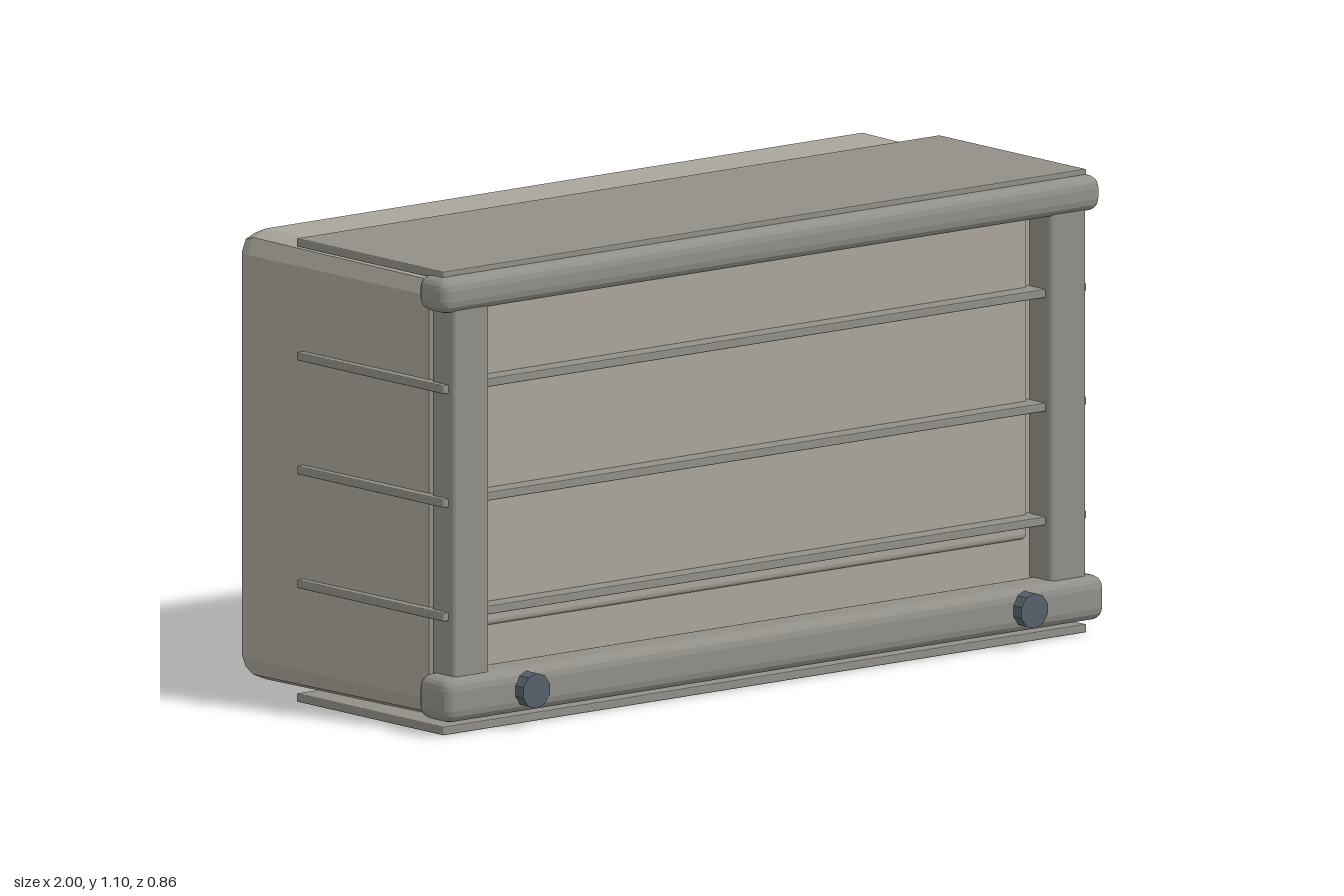
import * as THREE from 'three';
import { RoundedBoxGeometry } from 'three/addons/geometries/RoundedBoxGeometry.js';

const mat = (color) => new THREE.MeshStandardMaterial({ color, flatShading: true });

// Outline of a rectangle with rounded corners, counter-clockwise seen from +z
function outline(halfW, halfH, radius, steps = 2) {
  const points = [];
  [[1, 1], [-1, 1], [-1, -1], [1, -1]].forEach(([sx, sy], corner) => {
    for (let i = 0; i <= steps; i++) {
      const a = (corner + i / steps) * Math.PI / 2;
      points.push([
        sx * (halfW - radius) + radius * Math.cos(a),
        sy * (halfH - radius) + radius * Math.sin(a),
      ]);
    }
  });
  return points;
}

// Skin over cross-sections running from front to back, closed at both ends
function loft(rings) {
  const pos = [];
  const index = [];
  const n = rings[0].points.length;
  rings.forEach(({ z, points }) => points.forEach(([x, y]) => pos.push(x, y, z)));
  for (let r = 0; r < rings.length - 1; r++) {
    for (let i = 0; i < n; i++) {
      const a = r * n + i;
      const b = r * n + (i + 1) % n;
      index.push(a, a + n, b, b, a + n, b + n);
    }
  }
  const last = (rings.length - 1) * n;
  for (let i = 1; i < n - 1; i++) {
    index.push(0, i, i + 1);
    index.push(last, last + i + 1, last + i);
  }
  const geo = new THREE.BufferGeometry();
  geo.setAttribute('position', new THREE.Float32BufferAttribute(pos, 3));
  geo.setIndex(index);
  geo.computeVertexNormals();
  return geo;
}

export function createModel() {
  const model = new THREE.Group();
  const bodyMat = mat(0xaaa59c);
  const trimMat = mat(0x918f88);
  const knobMat = mat(0x56616b);

  const add = (name, geo, material, x, y, z) => {
    const mesh = new THREE.Mesh(geo, material);
    mesh.name = name;
    mesh.position.set(x, y, z);
    model.add(mesh);
    return mesh;
  };
  const block = (w, h, d, radius) => new RoundedBoxGeometry(w, h, d, 2, radius);

  // Cabinet body: small bevel in front, wide rounded edges at the back
  const sections = [
    [0.29, 0.02], [0.275, 0.008], [-0.375, 0], [-0.415, 0.016], [-0.43, 0.05],
  ];
  add('body', loft(sections.map(([z, inset]) => ({
    z, points: outline(0.96 - inset, 0.535 - inset, 0.056 - inset),
  }))), bodyMat, 0, 0.55, 0);

  // Raised front panel
  add('frontPanel', block(1.68, 0.78, 0.06, 0.015), bodyMat, 0, 0.62, 0.277);

  // Thin plates running through the cabinet, from base to top
  for (let i = 0; i < 5; i++) {
    add('shelfPlate', block(1.95, 0.02, 0.535, 0.003), trimMat, 0, 0.01 + i * 0.27, 0.0875);
  }

  // Front frame rails
  add('topRail', block(2, 0.085, 0.105, 0.03), trimMat, 0, 1.045, 0.335);
  add('bottomRail', block(2, 0.107, 0.118, 0.03), trimMat, 0, 0.087, 0.342);

  // Front posts and knobs, one on each side
  for (const side of [-1, 1]) {
    add('frontPost', block(0.11, 1.0, 0.085, 0.012), trimMat, side * 0.905, 0.55, 0.333);
    const knob = add('knob', new THREE.CylinderGeometry(0.042, 0.042, 0.06, 10), knobMat,
      side * 0.755, 0.09, 0.4);
    knob.rotation.x = Math.PI / 2;
  }

  return model;
}
